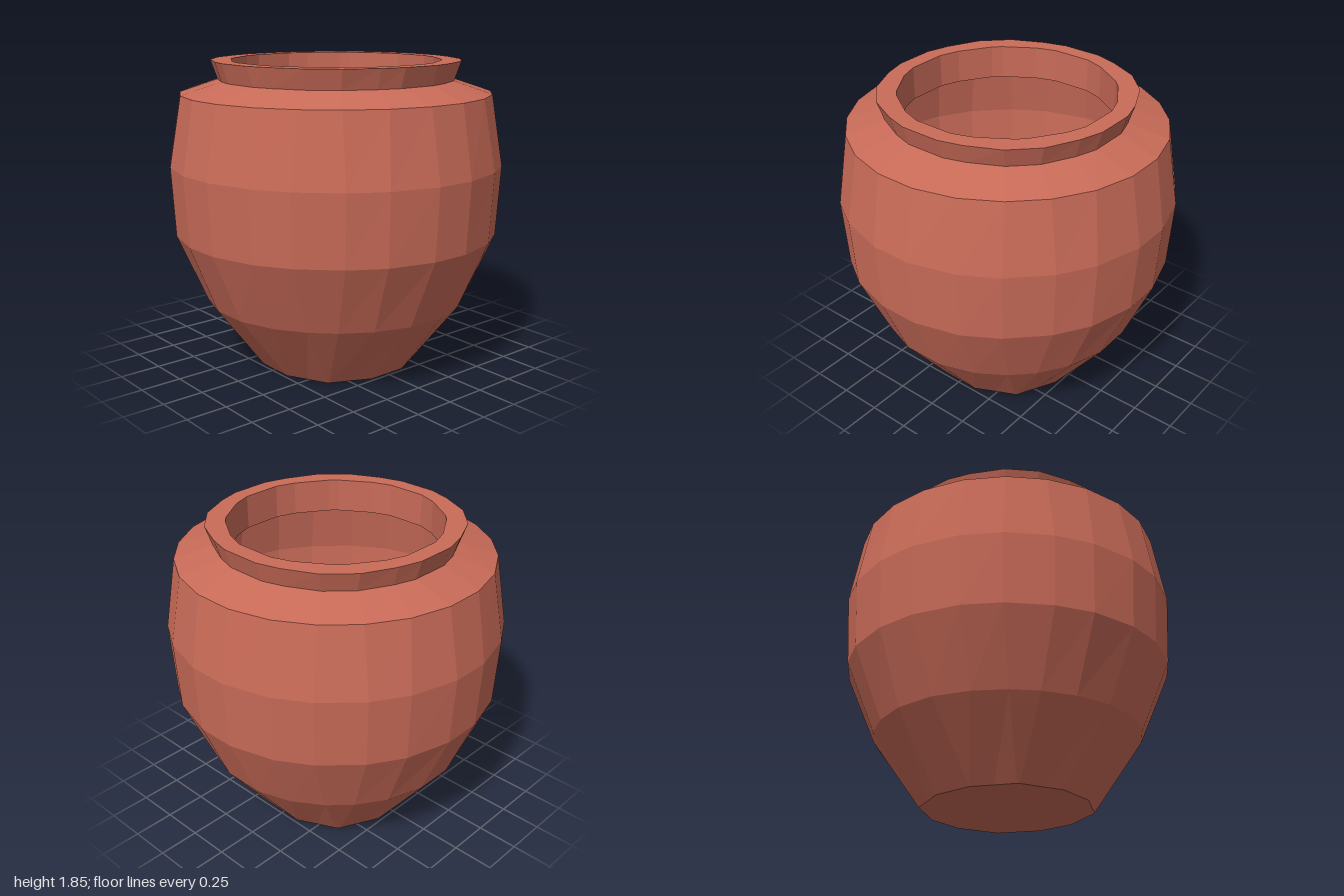
import * as THREE from 'three';

const clay = new THREE.MeshStandardMaterial({
  color: 0xc96b58, flatShading: true, side: THREE.DoubleSide,
});

// A 24-point ring, from two points of one eighth and the flat of half-width 0.12.
// r: distance to the flat side, (x1, z1) and (x2, z2): the next two corners
function ring(y, r, x1, z1, x2, z2) {
  const f = Math.min(0.12, r);
  const quarter = [[r, f], [z1, x1], [z2, x2], [x2, z2], [x1, z1], [f, r]];
  const points = [];
  for (let q = 0; q < 4; q++) {
    for (const [px, pz] of quarter) {
      let x = px, z = pz;
      for (let k = 0; k < q; k++) [x, z] = [-z, x];
      points.push(new THREE.Vector3(x, y, z));
    }
  }
  return points;
}

// Flat-faced skin through successive rings, leaving out collapsed triangles
function loft(name, rings) {
  const pos = [];
  const tri = (a, b, c) => {
    if (new THREE.Triangle(a, b, c).getArea() < 1e-7) return;
    for (const p of [a, b, c]) pos.push(p.x, p.y, p.z);
  };
  for (let k = 0; k + 1 < rings.length; k++) {
    const lo = rings[k], hi = rings[k + 1], n = lo.length;
    for (let i = 0; i < n; i++) {
      const j = (i + 1) % n;
      tri(lo[i], hi[i], lo[j]);
      tri(hi[i], hi[j], lo[j]);
    }
  }
  const geometry = new THREE.BufferGeometry();
  geometry.setAttribute('position', new THREE.Float32BufferAttribute(pos, 3));
  geometry.computeVertexNormals();
  const mesh = new THREE.Mesh(geometry, clay);
  mesh.name = name;
  return mesh;
}

export function createModel() {
  const group = new THREE.Group();
  group.name = 'pot';

  const foot = ring(0, 0.48, 0.24, 0.42, 0.355, 0.365);
  const shoulder = ring(1.66, 0.925, 0.36, 0.86, 0.57, 0.735);
  const neck = ring(1.735, 0.69, 0.25, 0.65, 0.43, 0.56);

  // Floor closing the foot
  group.add(loft('floor', [ring(0, 0, 0, 0, 0, 0), foot]));

  // Hollow belly, seen from both sides
  group.add(loft('belly', [
    foot,
    ring(0.415, 0.8, 0.33, 0.73, 0.5, 0.62),
    ring(0.83, 0.975, 0.39, 0.9, 0.585, 0.78),
    ring(1.245, 1, 0.4, 0.92, 0.6, 0.8),
    shoulder,
  ]));

  // Sloping top of the shoulder
  group.add(loft('shoulder', [shoulder, neck]));

  // Flared rim, its flat top, and the mouth lining down to the shoulder
  group.add(loft('rim', [
    neck,
    ring(1.85, 0.725, 0.26, 0.685, 0.45, 0.595),
    ring(1.85, 0.622, 0.24, 0.58, 0.42, 0.465),
    ring(1.65, 0.622, 0.24, 0.58, 0.42, 0.465),
    shoulder,
  ]));

  return group;
}
